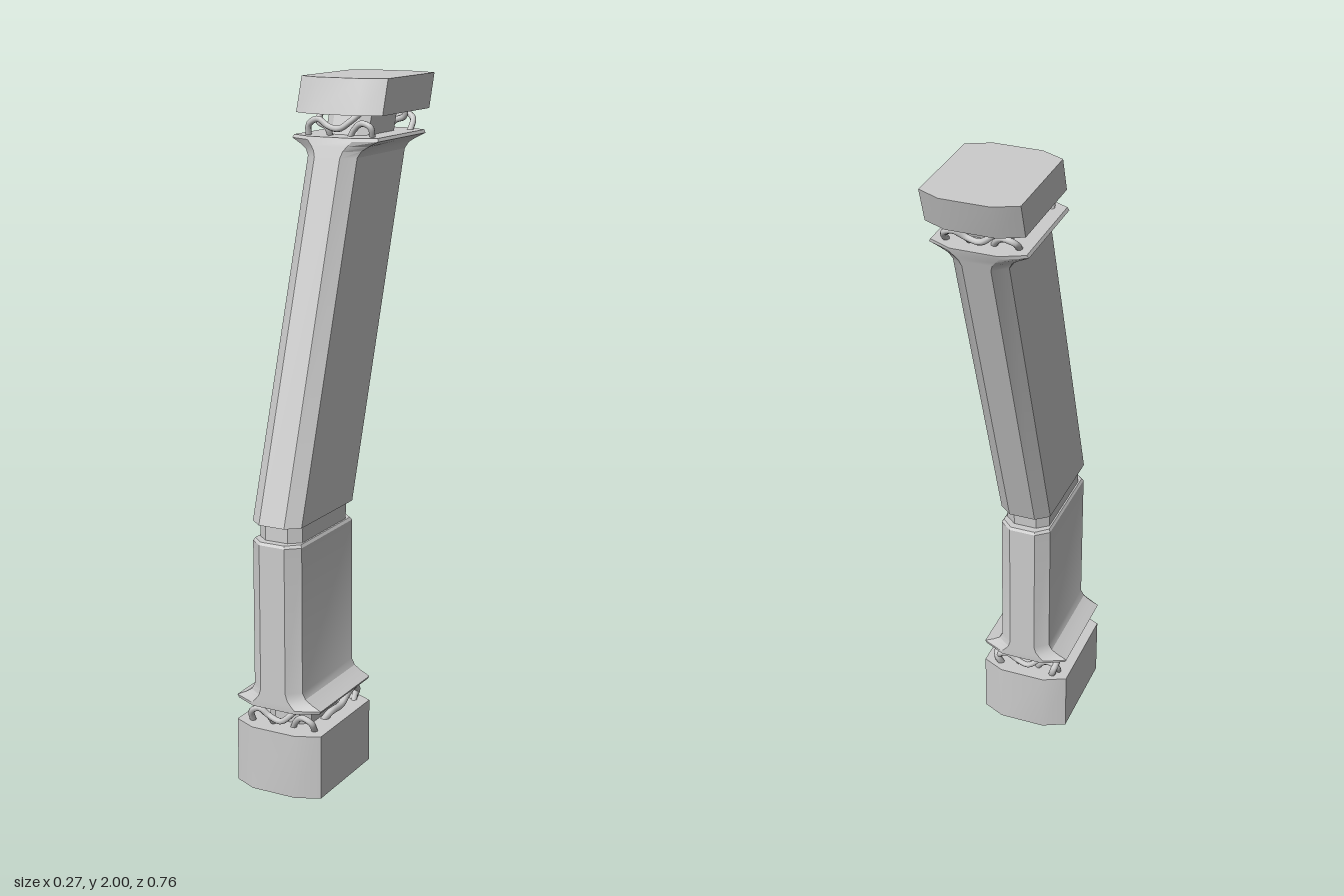
import * as THREE from 'three';
import { toCreasedNormals } from 'three/addons/utils/BufferGeometryUtils.js';

const material = new THREE.MeshStandardMaterial({ color: 0xcccccc });

// The centre line: upright below the joint, leaning back above it
const centreZ = y => 0.2025 - Math.max(0, y - 0.8) * 0.33;

// Chamfered eight-sided section at height y
function section(y, halfX, faceX, halfZ = 0.182, chamfer = 0.032) {
  const corners = [[-faceX, halfZ], [faceX, halfZ], [halfX, halfZ - chamfer], [halfX, chamfer - halfZ],
    [faceX, -halfZ], [-faceX, -halfZ], [-halfX, chamfer - halfZ], [-halfX, halfZ - chamfer]];
  return corners.map(([x, z]) => [x, y, z + centreZ(y)]);
}

// Skin a stack of sections, bottom to top, and close both ends
function loft(name, sections) {
  const n = 8, last = (sections.length - 1) * n, index = [];
  for (let s = 0; s < sections.length - 1; s++) {
    for (let i = 0; i < n; i++) {
      const a = s * n + i, b = s * n + (i + 1) % n;
      index.push(a, b, b + n, a, b + n, a + n);
    }
  }
  for (let i = 1; i < n - 1; i++) {
    index.push(0, i + 1, i, last, last + i, last + i + 1);
  }
  const geometry = new THREE.BufferGeometry();
  geometry.setAttribute('position', new THREE.Float32BufferAttribute(sections.flat(2), 3));
  geometry.setIndex(index);
  const mesh = new THREE.Mesh(toCreasedNormals(geometry, 0.5), material);
  mesh.name = name;
  return mesh;
}

// Cable through points given as [x, height fraction of the gap, z from the centre line]
function cable(name, y0, y1, points, radius = 0.009) {
  const path = new THREE.CatmullRomCurve3(points.map(([x, t, z]) => {
    const y = y0 + t * (y1 - y0);
    return new THREE.Vector3(x, y, centreZ(y) + z);
  }));
  const mesh = new THREE.Mesh(new THREE.TubeGeometry(path, 24, radius, 8), material);
  mesh.name = name;
  return mesh;
}

// Cables at the front and back of a gap
function addCables(group, y0, y1) {
  const wave = [[-0.095, -0.1, 0.13], [-0.09, 0.5, 0.15], [-0.06, 0.75, 0.155], [-0.03, 0.45, 0.15],
    [0.01, 0.35, 0.155], [0.04, 0.7, 0.15], [0.06, 1.1, 0.13]];
  const hook = [[0.1, -0.1, 0.115], [0.1, 0.45, 0.14], [0.07, 0.6, 0.14], [0.045, 0.3, 0.13], [0.03, -0.1, 0.12]];
  const riser = [[-0.03, -0.1, 0.12], [-0.035, 0.35, 0.14], [-0.07, 0.6, 0.13], [-0.075, 1.1, 0.115]];
  for (const side of [1, -1]) {
    for (const points of [wave, hook, riser]) {
      // Turned half way round for the back
      group.add(cable('cable', y0, y1, points.map(([x, t, z]) => [x * side, t, z * side])));
    }
  }
}

export function createModel() {
  const group = new THREE.Group();
  group.name = 'bentColumn';

  // End blocks
  group.add(loft('baseBlock', [section(0, 0.137, 0.07), section(0.19, 0.137, 0.07)]));
  group.add(loft('topBlock', [section(1.9, 0.137, 0.07), section(2, 0.137, 0.07)]));

  // Narrow cores inside the open gaps
  group.add(loft('lowerCore', [section(0.18, 0.068, 0.04, 0.1, 0.02), section(0.27, 0.068, 0.04, 0.1, 0.02)]));
  group.add(loft('upperCore', [section(1.83, 0.068, 0.04, 0.1, 0.02), section(1.91, 0.068, 0.04, 0.1, 0.02)]));

  // Lower shaft with a flared foot
  group.add(loft('lowerShaft', [
    section(0.257, 0.132, 0.067), section(0.266, 0.137, 0.07), section(0.28, 0.108, 0.056),
    section(0.293, 0.088, 0.046), section(0.312, 0.078, 0.04),
    section(0.742, 0.078, 0.04), section(0.75, 0.073, 0.038, 0.177),
  ]));

  // Recessed collar at the bend
  group.add(loft('collar', [section(0.74, 0.068, 0.035, 0.155, 0.027), section(0.81, 0.068, 0.035, 0.155, 0.027)]));

  // Leaning shaft with a flared head
  group.add(loft('upperShaft', [
    section(0.8, 0.078, 0.04), section(1.785, 0.078, 0.04), section(1.803, 0.088, 0.046),
    section(1.816, 0.108, 0.056), section(1.831, 0.137, 0.07), section(1.84, 0.132, 0.067),
  ]));

  // Cables bridging both gaps
  addCables(group, 0.19, 0.257);
  addCables(group, 1.84, 1.9);

  // Snaking cables on the sides of the lower gap
  for (const side of [1, -1]) {
    const snake = [[0.08, -0.1, 0.03], [0.095, 0.25, 0.02], [0.1, 0.3, -0.04], [0.1, 0.6, -0.08],
      [0.1, 0.75, -0.12], [0.095, 0.4, -0.15], [0.085, -0.1, -0.14]];
    group.add(cable('sideCable', 0.19, 0.257, snake.map(([x, t, z]) => [x * side, t, z]), 0.011));
  }
  return group;
}
